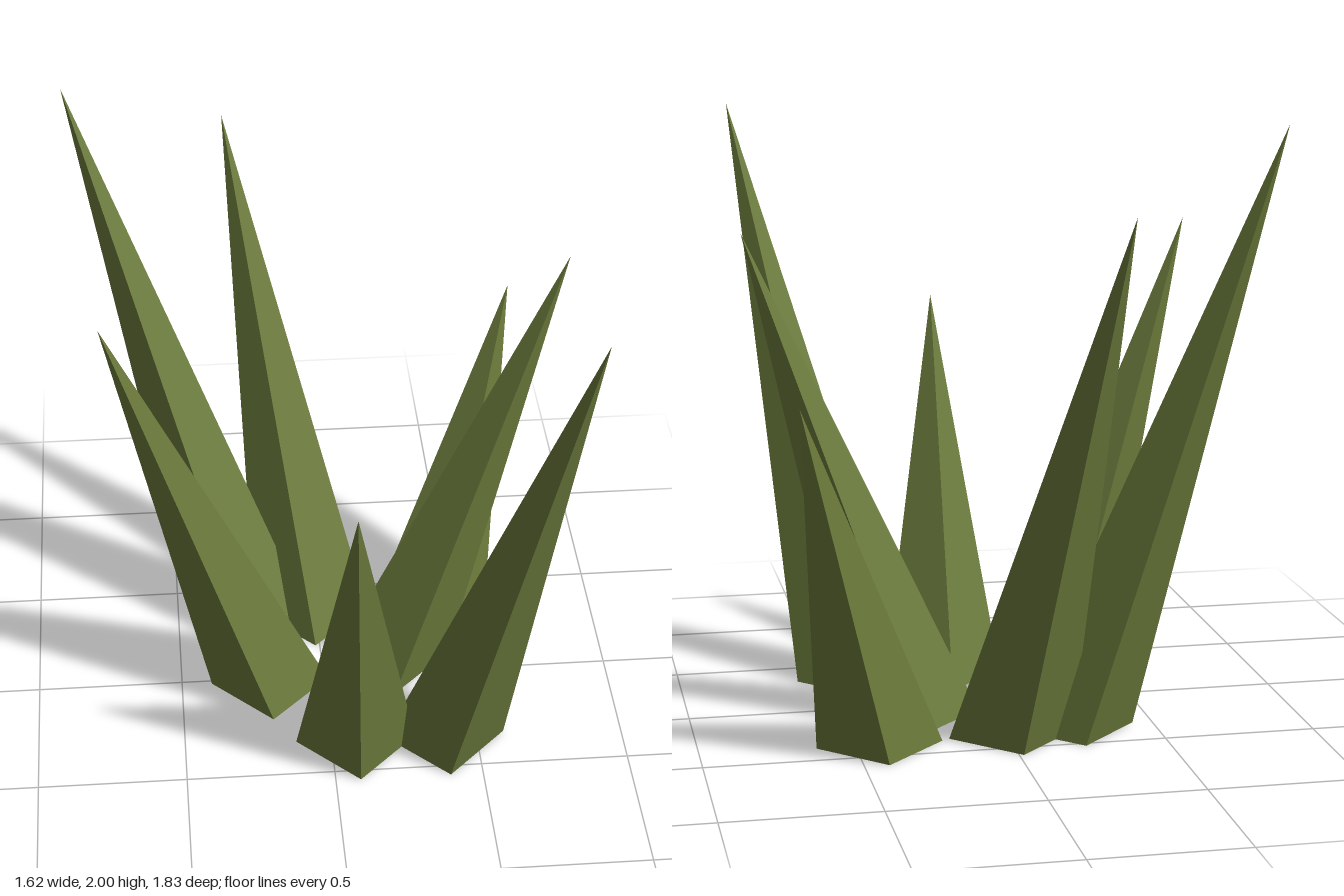
import * as THREE from 'three';

// Each blade: base centre (x, z), then tip (x, y, z)
const BLADES = [
  { name: 'rightBlade', base: [-0.19, 0.015], tip: [-0.72, 1.61, 0.18] },
  { name: 'backRightBlade', base: [-0.23, -0.32], tip: [-0.815, 2.0, -0.685] },
  { name: 'backBlade', base: [-0.015, -0.37], tip: [-0.28, 1.755, -0.915] },
  { name: 'backLeftBlade', base: [0.42, -0.385], tip: [0.7, 1.17, -0.675] },
  { name: 'leftBlade', base: [0.245, -0.09], tip: [0.81, 1.63, -0.11] },
  { name: 'frontLeftBlade', base: [0.39, 0.34], tip: [0.75, 1.96, 0.915] },
  { name: 'frontBlade', base: [0.085, 0.34], tip: [0.045, 1.275, 0.78] },
];
const BASE_RADIUS = 0.205;

// Open four-sided spike, sheared so its base stays flat on the ground
function bladeGeometry([bx, bz], [tx, ty, tz]) {
  const geometry = new THREE.ConeGeometry(BASE_RADIUS, 1, 4, 1, true);
  geometry.translate(0, 0.5, 0);
  geometry.applyMatrix4(new THREE.Matrix4().set(
    1, tx - bx, 0, bx,
    0, ty, 0, 0,
    0, tz - bz, 1, bz,
    0, 0, 0, 1,
  ));
  const flat = geometry.toNonIndexed();
  flat.computeVertexNormals();
  return flat;
}

export function createModel() {
  const group = new THREE.Group();
  group.name = 'grassTuft';
  const green = new THREE.MeshStandardMaterial({
    color: 0x6b7b3c, flatShading: true, side: THREE.DoubleSide,
  });
  green.name = 'grass green';

  for (const { name, base, tip } of BLADES) {
    const blade = new THREE.Mesh(bladeGeometry(base, tip), green);
    blade.name = name;
    group.add(blade);
  }
  return group;
}
